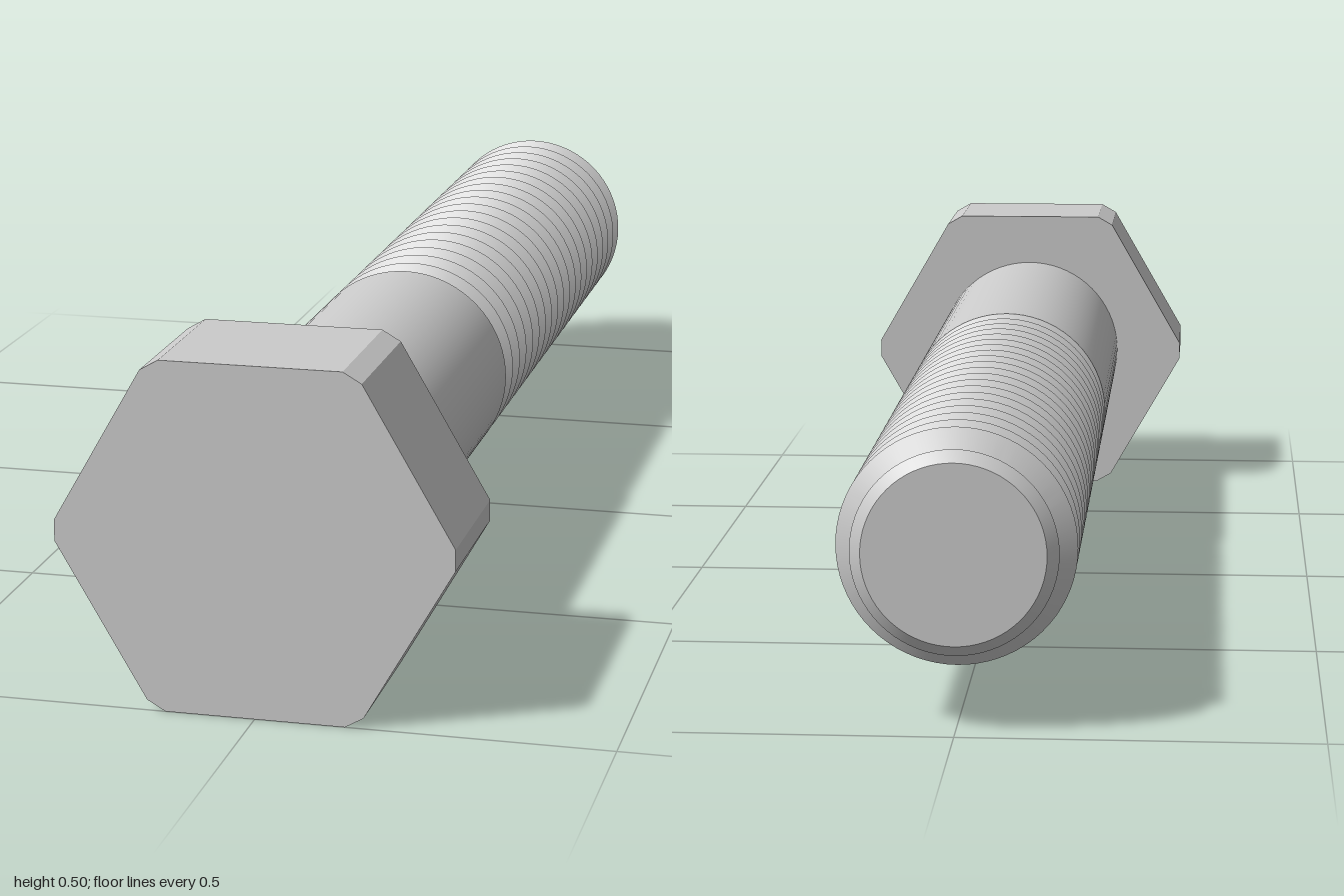
import * as THREE from 'three';
import { toCreasedNormals } from 'three/addons/utils/BufferGeometryUtils.js';

const AXIS_Y = 0.25;   // height of the bolt's axis
const R = 0.164;       // shank and thread crest radius
const ROOT = 0.12;     // thread root radius
const SHANK_END = 0.111;
const PITCH = 1.111 / 20;
const HEAD_BACK = 0.78;

const material = new THREE.MeshStandardMaterial({ color: 0xcccccc });

function addPart(group, name, geometry) {
  const mesh = new THREE.Mesh(geometry, material);
  mesh.name = name;
  mesh.position.y = AXIS_Y;
  group.add(mesh);
}

// Revolves [radius, z] pairs (z increasing) around the z axis, keeping edges crisp
function turned(profile) {
  const points = profile.map(([r, z]) => new THREE.Vector2(r, z));
  const geometry = new THREE.LatheGeometry(points, 72).rotateX(Math.PI / 2);
  return toCreasedNormals(geometry, 0.5);
}

// Hexagonal prism with flats at top and bottom and each corner cut off
function headGeometry() {
  const apothem = 0.25, cutRadius = 0.28;
  const halfFlat = 2 * cutRadius - Math.sqrt(3) * apothem;
  const corners = [];
  for (let i = 0; i < 6; i++) {
    const a = Math.PI / 6 + (i * Math.PI) / 3;
    const c = Math.cos(a), s = Math.sin(a);
    for (const side of [-halfFlat, halfFlat]) {
      corners.push(new THREE.Vector2(apothem * c - side * s, apothem * s + side * c));
    }
  }
  return new THREE.ExtrudeGeometry(new THREE.Shape(corners), {
    depth: 1 - HEAD_BACK, bevelEnabled: false,
  }).translate(0, 0, HEAD_BACK);
}

// V-shaped ridges from the chamfered tip up to the shank
function threadProfile() {
  const profile = [[0, -1], [0.125, -1], [0.141, -0.986], [ROOT, -1 + PITCH / 2]];
  for (let i = 1; i < 20; i++) {
    const crest = -1 + i * PITCH;
    profile.push([R, crest], [ROOT, crest + PITCH / 2]);
  }
  profile.push([R, SHANK_END]);
  return profile;
}

export function createModel() {
  const group = new THREE.Group();
  group.name = 'hexBolt';
  addPart(group, 'head', headGeometry());
  addPart(group, 'shank', turned([[R, SHANK_END], [R, HEAD_BACK]]));
  addPart(group, 'thread', turned(threadProfile()));
  return group;
}
